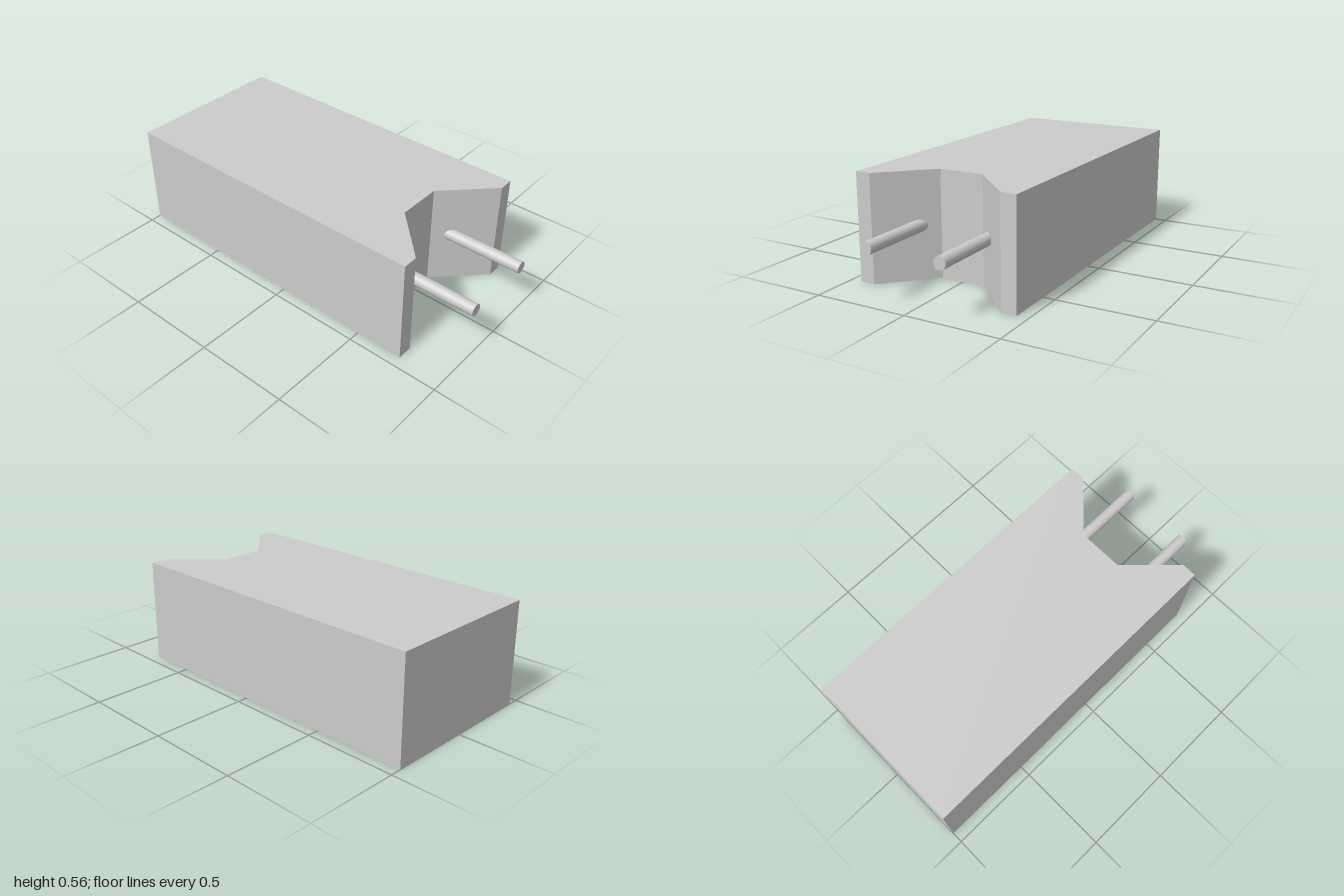
import * as THREE from 'three';

export function createModel() {
  const model = new THREE.Group();
  const grey = new THREE.MeshStandardMaterial({ color: 0xcccccc });
  const height = 0.56, back = -1, front = 0.757, recess = 0.515;

  // Block: plan outline with a tapered recess in the front, extruded upwards
  const half = [[0.44, back], [0.44, front], [0.36, front], [0.12, recess]];
  const mirrored = half.map(([x, z]) => [-x, z]).reverse();
  const outline = [...half, ...mirrored].map(([x, z]) => new THREE.Vector2(x, -z));
  const bodyGeometry = new THREE.ExtrudeGeometry(new THREE.Shape(outline), {
    depth: height, bevelEnabled: false,
  });
  bodyGeometry.rotateX(-Math.PI / 2);
  const body = new THREE.Mesh(bodyGeometry, grey);
  body.name = 'body';
  model.add(body);

  // Two round pins rooted in the sloping recess walls
  const pinBack = 0.54, pinFront = 1;
  const pinGeometry = new THREE.CylinderGeometry(0.032, 0.032, pinFront - pinBack, 32);
  pinGeometry.rotateX(Math.PI / 2);
  for (const [name, x] of [['leftPin', 0.2], ['rightPin', -0.2]]) {
    const pin = new THREE.Mesh(pinGeometry, grey);
    pin.name = name;
    pin.position.set(x, height / 2, (pinBack + pinFront) / 2);
    model.add(pin);
  }
  return model;
}
